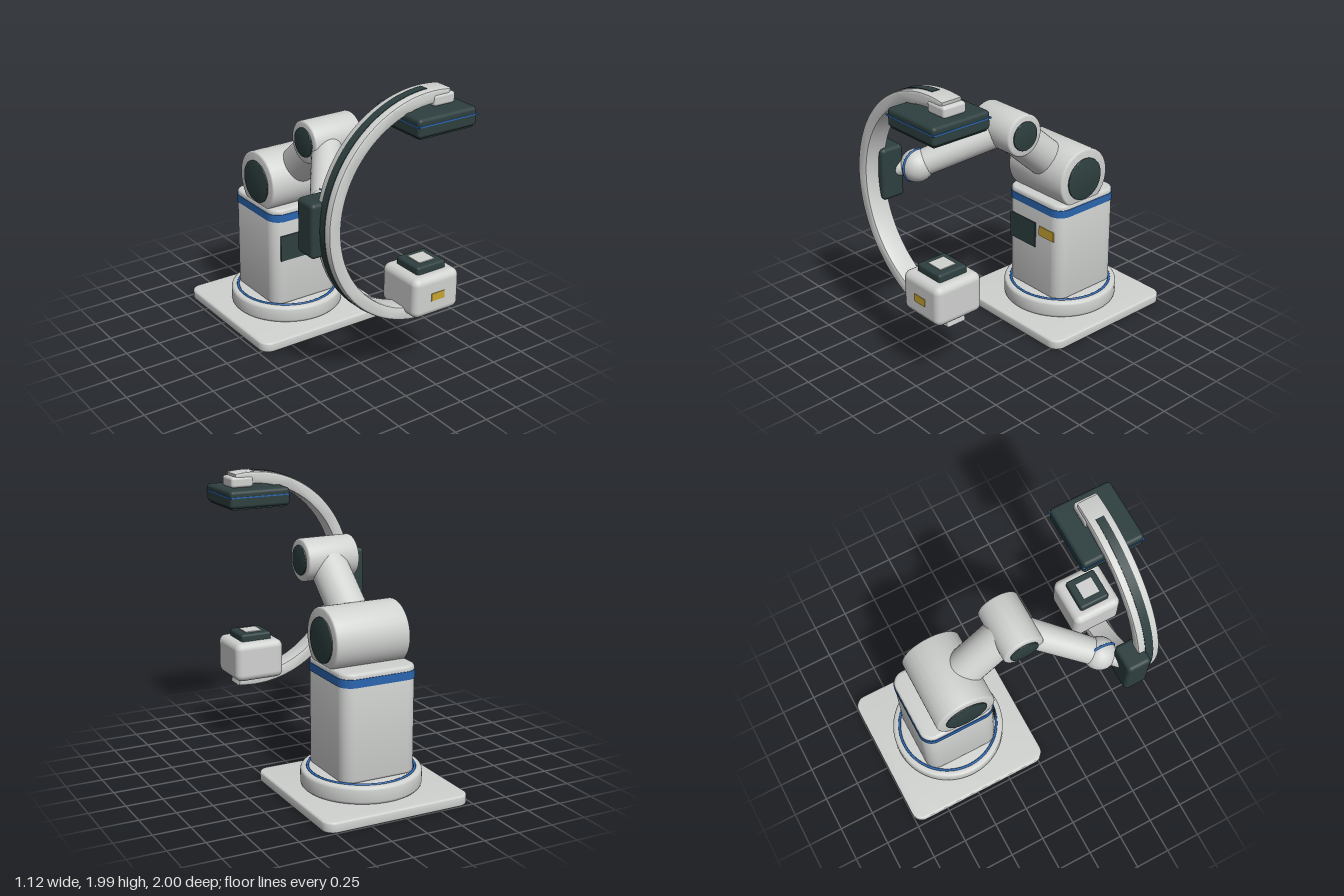
import * as THREE from 'three';
import { toCreasedNormals } from 'three/addons/utils/BufferGeometryUtils.js';
import { RoundedBoxGeometry } from 'three/addons/geometries/RoundedBoxGeometry.js';

const material = (name, color) => {
  const m = new THREE.MeshStandardMaterial({ color });
  m.name = name;
  return m;
};

export function createModel() {
  const shell = material('light grey shell', 0xd0d2d0);
  const dark = material('dark slate', 0x2e3f3f);
  const blue = material('blue trim', 0x2a66b0);
  const yellow = material('yellow label', 0xc8a432);

  const model = new THREE.Group();
  model.name = 'roboticImagingArm';

  const add = (name, geometry, mat, x = 0, y = 0, z = 0) => {
    const mesh = new THREE.Mesh(geometry, mat);
    mesh.name = name;
    mesh.position.set(x, y, z);
    model.add(mesh);
    return mesh;
  };

  const box = (name, mat, size, pos, radius) =>
    add(name, radius ? new RoundedBoxGeometry(...size, 4, radius) : new THREE.BoxGeometry(...size), mat, ...pos);

  // Upright slab with rounded plan corners and bevelled edges, standing on y = 0
  const slab = (w, d, h, r, bevel) => {
    const a = w / 2, b = d / 2;
    const s = new THREE.Shape();
    s.absarc(a - r, b - r, r, 0, Math.PI / 2);
    s.absarc(r - a, b - r, r, Math.PI / 2, Math.PI);
    s.absarc(r - a, r - b, r, Math.PI, Math.PI * 1.5);
    s.absarc(a - r, r - b, r, Math.PI * 1.5, Math.PI * 2);
    s.closePath();
    const g = new THREE.ExtrudeGeometry(s, {
      depth: h - 2 * bevel, bevelEnabled: bevel > 0, bevelThickness: bevel,
      bevelSize: bevel, bevelOffset: -bevel, bevelSegments: 3, curveSegments: 10,
    });
    g.translate(0, 0, bevel).rotateX(-Math.PI / 2);
    return toCreasedNormals(g, 0.6);
  };

  // Round drum along y, centred, with rounded rims
  const drum = (r, h, b) => {
    const pts = [new THREE.Vector2(0, -h / 2)];
    for (const side of [-1, 1]) {
      for (let i = 0; i <= 3; i++) {
        const t = (side < 0 ? i - 3 : i) * Math.PI / 6;
        pts.push(new THREE.Vector2(r - b + b * Math.cos(t), side * (h / 2 - b) + b * Math.sin(t)));
      }
    }
    pts.push(new THREE.Vector2(0, h / 2));
    return toCreasedNormals(new THREE.LatheGeometry(pts, 56), 0.6);
  };

  // Tapered link between two points
  const link = (name, from, to, r0, r1) => {
    const dir = to.clone().sub(from);
    const mesh = add(name, new THREE.CylinderGeometry(r1, r0, dir.length(), 32), shell);
    mesh.position.copy(from).addScaledVector(dir, 0.5);
    mesh.quaternion.setFromUnitVectors(new THREE.Vector3(0, 1, 0), dir.normalize());
  };

  // Horizontal joint with a dark cap on each end
  const joint = (name, c, r, half, capR) => {
    add(name, drum(r, half * 2, 0.014).rotateZ(Math.PI / 2), shell, c.x, c.y, c.z);
    for (const s of [-1, 1]) {
      add(name + 'Cap', drum(capR, 0.03, 0.004).rotateZ(Math.PI / 2), dark, c.x + s * (half - 0.005), c.y, c.z);
    }
  };

  // Arc-shaped band in the xy plane, centred on z
  const band = (rOut, rIn, start, end, width, bevel) => {
    const a = THREE.MathUtils.degToRad(start), b = THREE.MathUtils.degToRad(end);
    const s = new THREE.Shape();
    s.absarc(0, 0, rOut, a, b, false);
    s.absarc(0, 0, rIn, b, a, true);
    s.closePath();
    const g = new THREE.ExtrudeGeometry(s, {
      depth: width - 2 * bevel, bevelEnabled: bevel > 0, bevelThickness: bevel,
      bevelSize: bevel, bevelOffset: -bevel, bevelSegments: 2, curveSegments: 48,
    });
    g.translate(0, 0, bevel - width / 2);
    return toCreasedNormals(g, 0.4);
  };

  const cx = 0.04, cz = -0.475;

  // Base and column
  add('basePlate', slab(1.04, 1.05, 0.07, 0.08, 0.012), shell, cx, 0, cz);
  add('turntable', drum(0.4, 0.12, 0.022), shell, cx, 0.127, cz);
  add('turntableRing', new THREE.TorusGeometry(0.352, 0.009, 8, 64).rotateX(Math.PI / 2), blue, cx, 0.187, cz);
  add('column', slab(0.54, 0.545, 0.73, 0.09, 0.02), shell, cx, 0.18, cz);
  add('columnBand', slab(0.55, 0.555, 0.055, 0.095, 0), blue, cx, 0.82, cz);
  box('columnPanel', dark, [0.255, 0.19, 0.009], [-0.052, 0.62, -0.2]);
  box('columnLabel', yellow, [0.145, 0.07, 0.009], [0.185, 0.67, -0.2]);

  // Articulated arm
  const shoulder = new THREE.Vector3(cx, 1.06, -0.43);
  const elbow = new THREE.Vector3(cx, 1.48, 0.04);
  const wrist = new THREE.Vector3(-0.31, 1.235, 0.513);
  joint('shoulderJoint', shoulder, 0.214, 0.265, 0.15);
  joint('elbowJoint', elbow, 0.144, 0.185, 0.1);
  link('upperArm', shoulder, elbow, 0.132, 0.13);
  link('forearm', elbow, wrist, 0.102, 0.09);
  add('wristBall', new THREE.SphereGeometry(0.113, 24, 16), shell, wrist.x, wrist.y, wrist.z);
  add('wristRing', new THREE.TorusGeometry(0.111, 0.009, 8, 32).rotateY(Math.PI / 2), blue, wrist.x, wrist.y, wrist.z);
  link('wristStub', wrist, new THREE.Vector3(-0.45, 1.21, 0.665), 0.058, 0.058);
  box('armCarriage', dark, [0.2, 0.365, 0.17], [-0.46, 1.208, 0.667], 0.028);

  // Curved arm with its outer rail
  const ax = 0.272, ay = 1.212, az = 0.773;
  add('curvedArm', band(0.773, 0.685, 80.5, 279.5, 0.155, 0.016), shell, ax, ay, az);
  add('curvedArmRail', band(0.777, 0.768, 92, 268, 0.058, 0), dark, ax, ay, az);

  // Detector at the upper end
  box('detectorBracket', shell, [0.165, 0.075, 0.172], [0.345, 1.915, az], 0.02);
  box('detector', dark, [0.45, 0.125, 0.436], [0.268, 1.817, 0.775], 0.025);
  box('detectorTrim', blue, [0.456, 0.009, 0.442], [0.268, 1.832, 0.775]);
  box('detectorFace', dark, [0.41, 0.02, 0.4], [0.268, 1.756, 0.775]);

  // Emitter housing at the lower end
  box('emitterHousing', shell, [0.365, 0.28, 0.365], [0.268, 0.64, 0.777], 0.05);
  box('emitterCollar', dark, [0.23, 0.07, 0.225], [0.268, 0.796, 0.777], 0.018);
  box('emitterWindow', shell, [0.125, 0.009, 0.125], [0.268, 0.832, 0.777]);
  box('emitterLabel', yellow, [0.104, 0.053, 0.009], [0.267, 0.636, 0.96]);

  return model;
}
